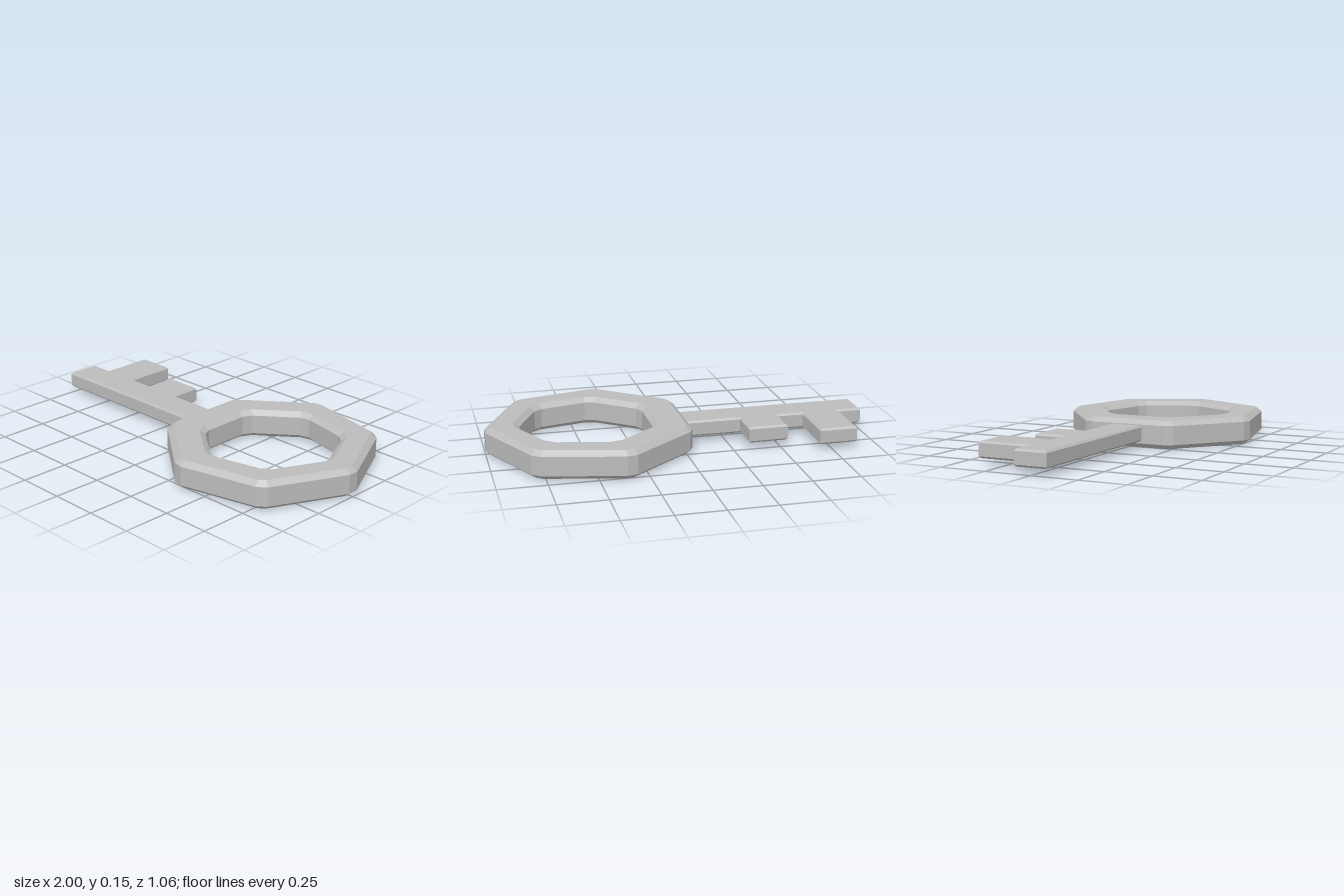
import * as THREE from 'three';

const metal = new THREE.MeshStandardMaterial({ color: 0xbcbcbc, flatShading: true });
metal.name = 'grey metal';

// Heptagon outline with each corner cut off by a short facet.
function cutHeptagon(cx, radius, cut) {
  const corner = (i) => {
    const a = (i * 2 * Math.PI) / 7;
    return new THREE.Vector2(cx + radius * Math.cos(a), radius * Math.sin(a));
  };
  const points = [];
  for (let i = 0; i < 7; i++) {
    const c = corner(i);
    for (const n of [corner(i - 1), corner(i + 1)]) {
      points.push(c.clone().add(n.sub(c).setLength(cut)));
    }
  }
  return points;
}

// Chamfered plate lying flat between two heights; the outline is its widest contour.
function plate(name, shape, bottom, top, bevelSize, bevelThickness) {
  const geometry = new THREE.ExtrudeGeometry(shape, {
    depth: top - bottom - 2 * bevelThickness,
    bevelEnabled: true,
    bevelSegments: 1,
    bevelSize,
    bevelThickness,
    bevelOffset: -bevelSize,
  });
  geometry.rotateX(Math.PI / 2).translate(0, top - bevelThickness, 0);
  const mesh = new THREE.Mesh(geometry, metal);
  mesh.name = name;
  return mesh;
}

export function createModel() {
  const key = new THREE.Group();
  key.name = 'key';

  // Seven-sided bow with a matching hole
  const bow = new THREE.Shape(cutHeptagon(0.46, 0.553, 0.03));
  bow.holes.push(new THREE.Path(cutHeptagon(0.475, 0.358, 0.03).reverse()));
  key.add(plate('bow', bow, 0, 0.148, 0.03, 0.024));

  // Shaft and its two teeth, which point to the back
  const blade = new THREE.Shape([
    [-1, 0.087], [-1, -0.09], [-0.875, -0.09], [-0.875, -0.367],
    [-0.675, -0.367], [-0.675, -0.09], [-0.537, -0.09], [-0.537, -0.256],
    [-0.328, -0.256], [-0.328, -0.09], [0.04, -0.09], [0.04, 0.087],
  ].map(([x, z]) => new THREE.Vector2(x, z)));
  key.add(plate('shaftAndTeeth', blade, 0.035, 0.12, 0.01, 0.01));

  return key;
}
